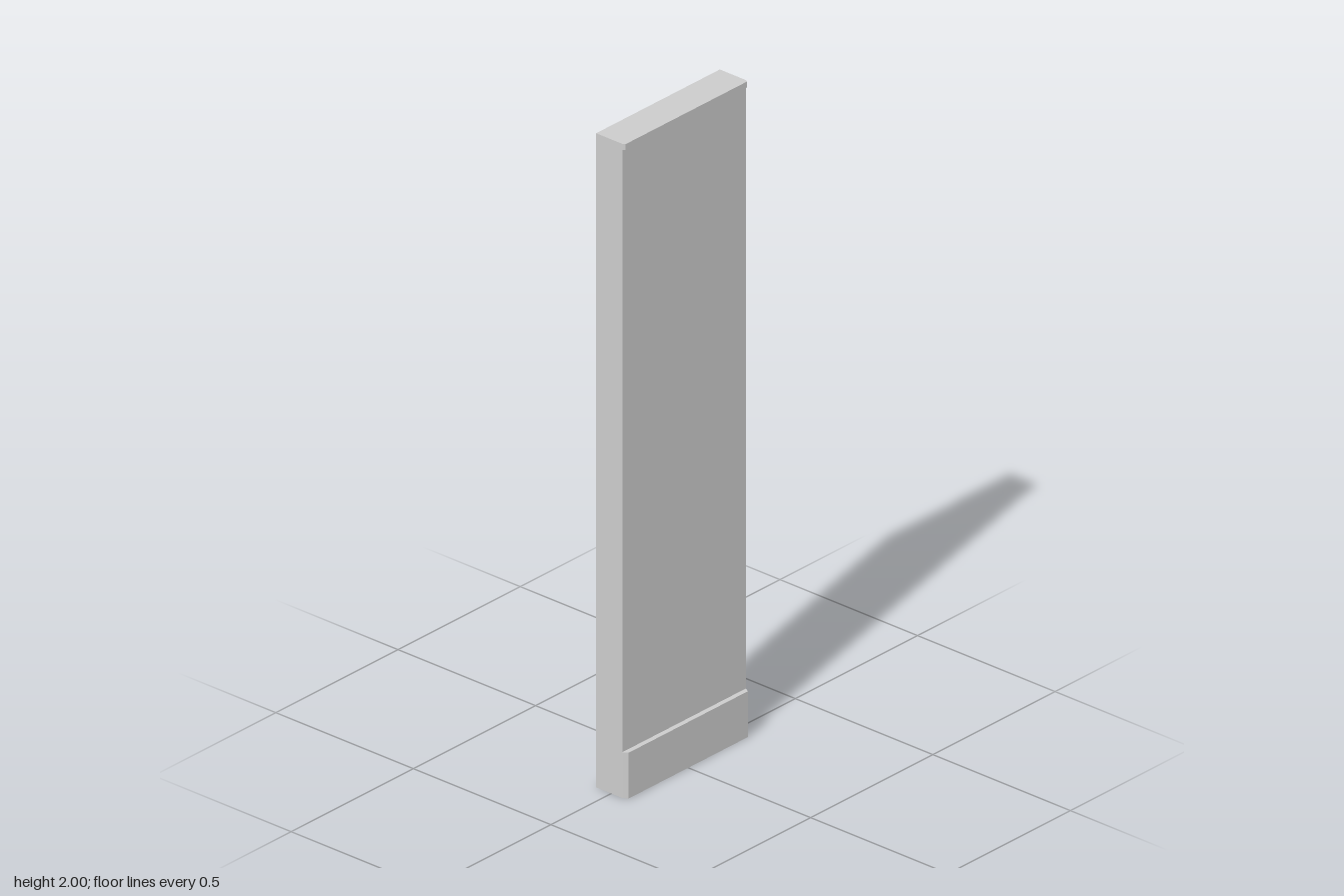
import * as THREE from 'three';

const HALF = 0.253; // half length of the wall along z
const BACK = -0.055, FACE = 0.04; // wall faces along x

export function createModel() {
  const group = new THREE.Group();
  const material = new THREE.MeshStandardMaterial({ color: 0xcccccc, flatShading: true });

  const add = (name, geometry) => {
    const mesh = new THREE.Mesh(geometry, material);
    mesh.name = name;
    group.add(mesh);
    return mesh;
  };

  // Main wall slab
  const wall = add('wallPanel', new THREE.BoxGeometry(FACE - BACK, 2, HALF * 2));
  wall.position.set((FACE + BACK) / 2, 1, 0);

  // Strip along the wall face with mitred ends, extruded upwards
  const strip = (name, depth, inset, bottom, height) => {
    const shape = new THREE.Shape([
      new THREE.Vector2(FACE, -HALF),
      new THREE.Vector2(FACE + depth, -HALF + inset),
      new THREE.Vector2(FACE + depth, HALF - inset),
      new THREE.Vector2(FACE, HALF),
    ]);
    const geometry = new THREE.ExtrudeGeometry(shape, { depth: height, bevelEnabled: false });
    geometry.rotateX(-Math.PI / 2);
    add(name, geometry).position.y = bottom;
  };

  strip('baseboard', 0.015, 0.009, 0, 0.14);
  strip('topTrim', 0.008, 0.005, 1.982, 0.018);

  return group;
}
